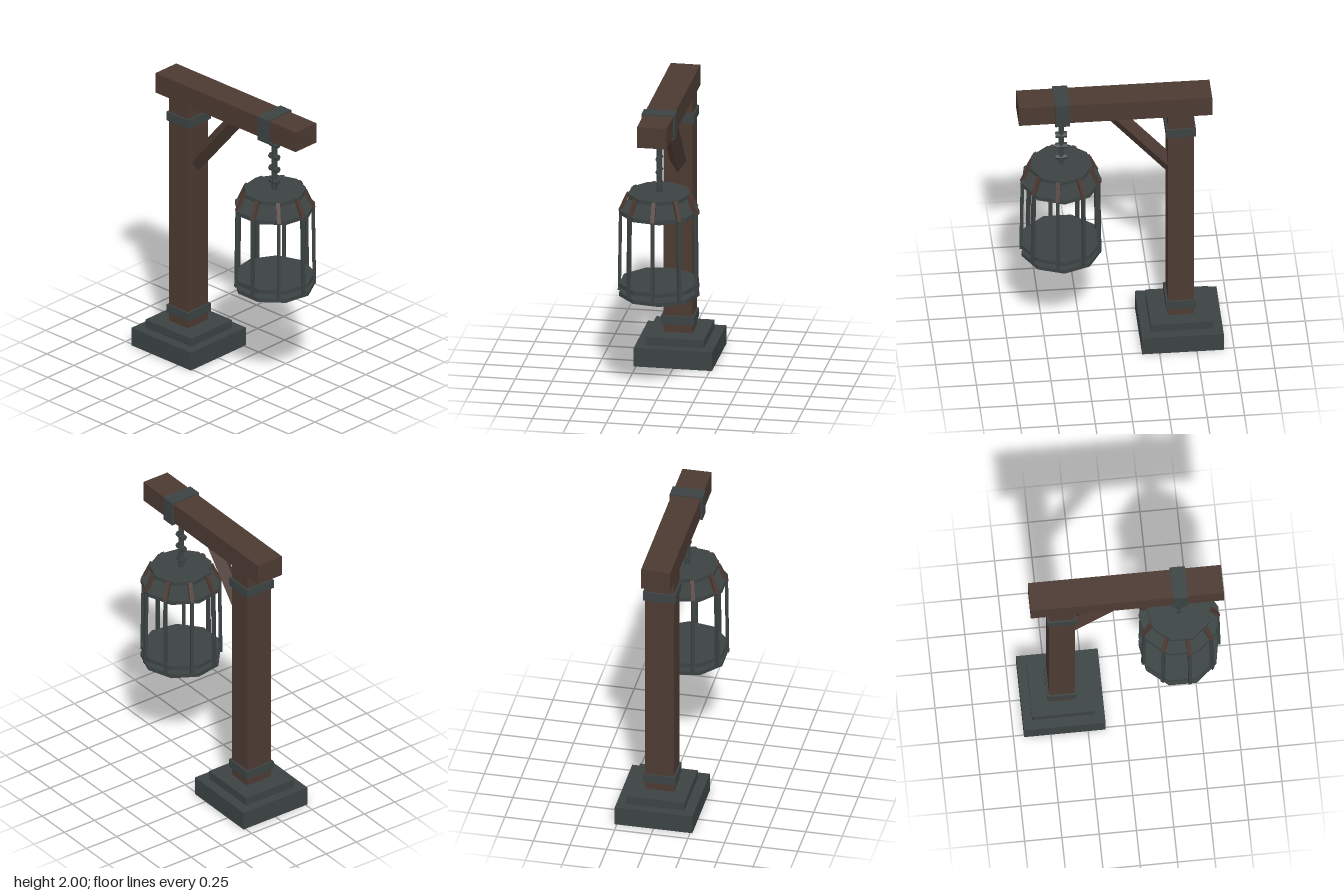
import * as THREE from 'three';

export function createModel() {
  const model = new THREE.Group();
  const wood = new THREE.MeshStandardMaterial({ color: 0x4c3a32, flatShading: true });
  wood.name = 'darkWood';
  const iron = new THREE.MeshStandardMaterial({ color: 0x3c4343, flatShading: true });
  iron.name = 'ironGrey';

  const add = (parent, name, geometry, material, x = 0, y = 0, z = 0) => {
    const mesh = new THREE.Mesh(geometry, material);
    mesh.name = name;
    mesh.position.set(x, y, z);
    parent.add(mesh);
    return mesh;
  };
  // Box given by its x and y limits, centred on z
  const block = (name, material, x0, x1, y0, y1, depth) =>
    add(model, name, new THREE.BoxGeometry(x1 - x0, y1 - y0, depth), material, (x0 + x1) / 2, (y0 + y1) / 2);
  // Lay a mesh's y axis along the line from a to b
  const span = (parent, name, geometry, material, a, b) => {
    const mesh = add(parent, name, geometry, material);
    mesh.position.copy(a).add(b).multiplyScalar(0.5);
    mesh.quaternion.setFromUnitVectors(new THREE.Vector3(0, 1, 0), b.clone().sub(a).normalize());
    return mesh;
  };

  // Stepped base
  block('baseSlab', iron, -0.68, -0.133, 0, 0.132, 0.53);
  block('baseStep', iron, -0.618, -0.197, 0.132, 0.19, 0.395);

  // Post, beam and their iron bands
  block('post', wood, -0.495, -0.322, 0.19, 1.846, 0.196);
  block('beam', wood, -0.618, 0.677, 1.845, 1.99, 0.2);
  block('lowerBand', iron, -0.508, -0.308, 0.248, 0.31, 0.222);
  block('upperBand', iron, -0.508, -0.308, 1.682, 1.745, 0.222);
  block('beamStrap', iron, 0.335, 0.435, 1.825, 2, 0.224);

  // Diagonal brace, a square bar standing on edge
  const braceStart = new THREE.Vector3(-0.36, 1.367, 0);
  const braceEnd = new THREE.Vector3(0.054, 1.855, 0);
  span(model, 'brace', new THREE.CylinderGeometry(0.057, 0.057, braceStart.distanceTo(braceEnd), 4),
    wood, braceStart, braceEnd);

  // Chain: a core with short cross pins
  const chain = new THREE.Group();
  chain.name = 'chain';
  chain.position.x = 0.385;
  model.add(chain);
  add(chain, 'chainCore', new THREE.CylinderGeometry(0.02, 0.02, 0.4, 6), iron, 0, 1.632, 0);
  for (const y of [1.77, 1.677, 1.587, 1.497]) {
    add(chain, 'chainLink', new THREE.CylinderGeometry(0.021, 0.021, 0.076, 6), iron, 0, y, 0)
      .rotation.z = Math.PI / 2;
  }

  // Cage: nine-sided plates joined by nine bars
  const cage = new THREE.Group();
  cage.name = 'cage';
  cage.position.x = 0.387;
  model.add(cage);
  const plate = (name, radius, y0, y1) => {
    add(cage, name, new THREE.CylinderGeometry(radius, radius, y1 - y0, 9), iron, 0, (y0 + y1) / 2, 0)
      .rotation.y = Math.PI;
  };
  plate('roofPlate', 0.212, 1.41, 1.437);
  plate('shoulderPlate', 0.272, 1.296, 1.324);
  plate('floorPlate', 0.272, 0.78, 0.808);
  plate('bottomPlate', 0.272, 0.717, 0.745);

  for (let i = 0; i < 9; i++) {
    // Each spoke is built in the +x direction and turned into place
    const spoke = new THREE.Group();
    spoke.name = 'cageSpoke';
    spoke.rotation.y = i * Math.PI * 2 / 9;
    cage.add(spoke);
    const foot = new THREE.Vector3(0.266, 0.745, 0);
    const shoulder = new THREE.Vector3(0.258, 1.315, 0);
    span(spoke, 'cageBar', new THREE.BoxGeometry(0.022, foot.distanceTo(shoulder), 0.022), iron, foot, shoulder);
    const low = new THREE.Vector3(0.262, 1.305, 0);
    const high = new THREE.Vector3(0.205, 1.432, 0);
    span(spoke, 'roofSlat', new THREE.BoxGeometry(0.022, low.distanceTo(high), 0.027), wood, low, high);
  }

  return model;
}
